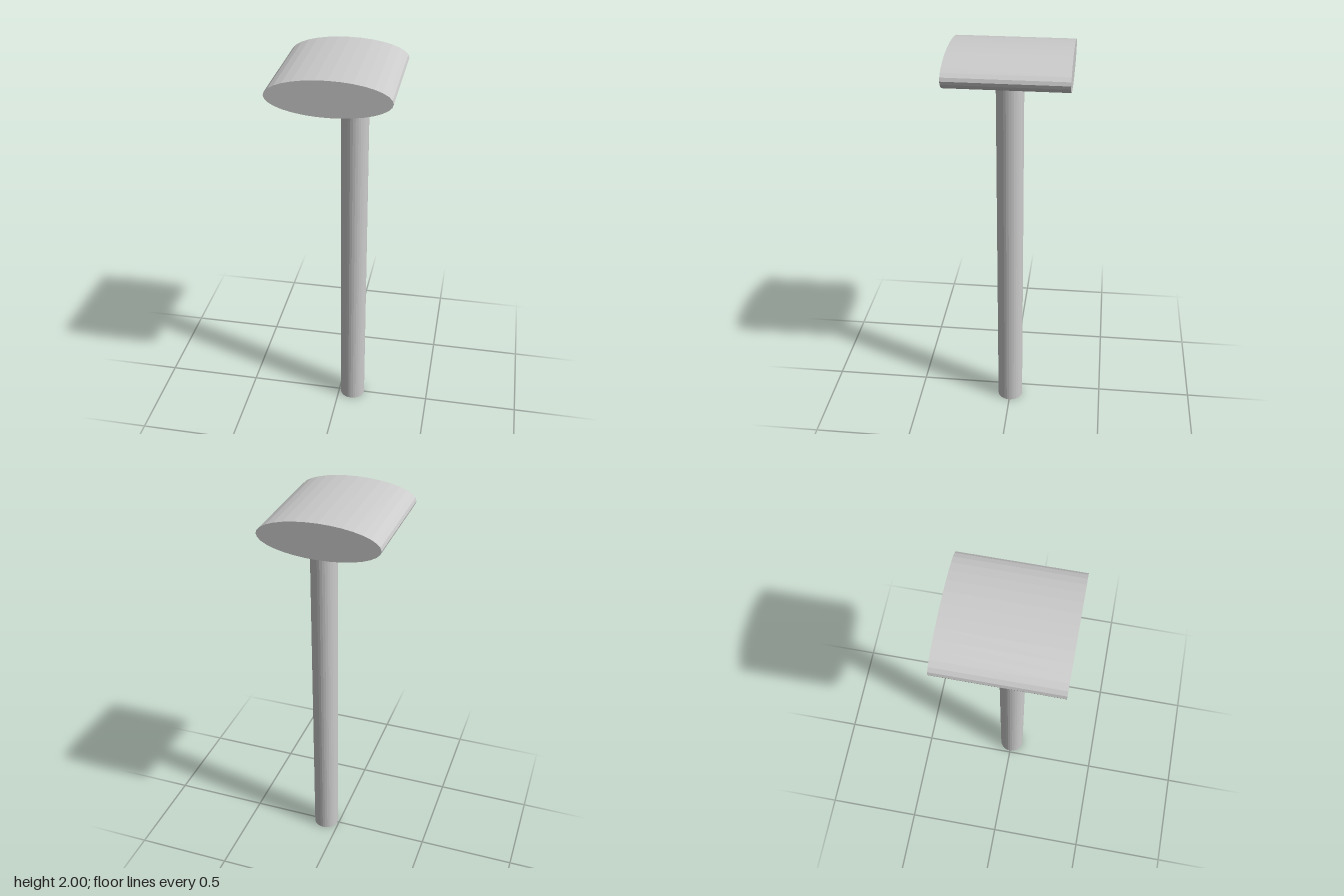
import * as THREE from 'three';

const SEGMENTS = 32;

export function createModel() {
  const model = new THREE.Group();
  const material = new THREE.MeshStandardMaterial({ color: 0xcccccc, flatShading: true });

  // Head: cylinder laid along z, squashed to an elliptical section
  const headGeometry = new THREE.CylinderGeometry(1, 1, 0.584, SEGMENTS);
  headGeometry.rotateX(Math.PI / 2);
  headGeometry.scale(0.292, 0.087, 1);
  const head = new THREE.Mesh(headGeometry, material);
  head.name = 'head';
  head.position.y = 1.913;

  // Handle: round shaft, set off-centre, its top sunk into the head
  const handleHeight = 1.86;
  const handle = new THREE.Mesh(
    new THREE.CylinderGeometry(0.067, 0.067, handleHeight, SEGMENTS),
    material
  );
  handle.name = 'handle';
  handle.position.set(0.076, handleHeight / 2, 0);

  model.add(head, handle);
  return model;
}
